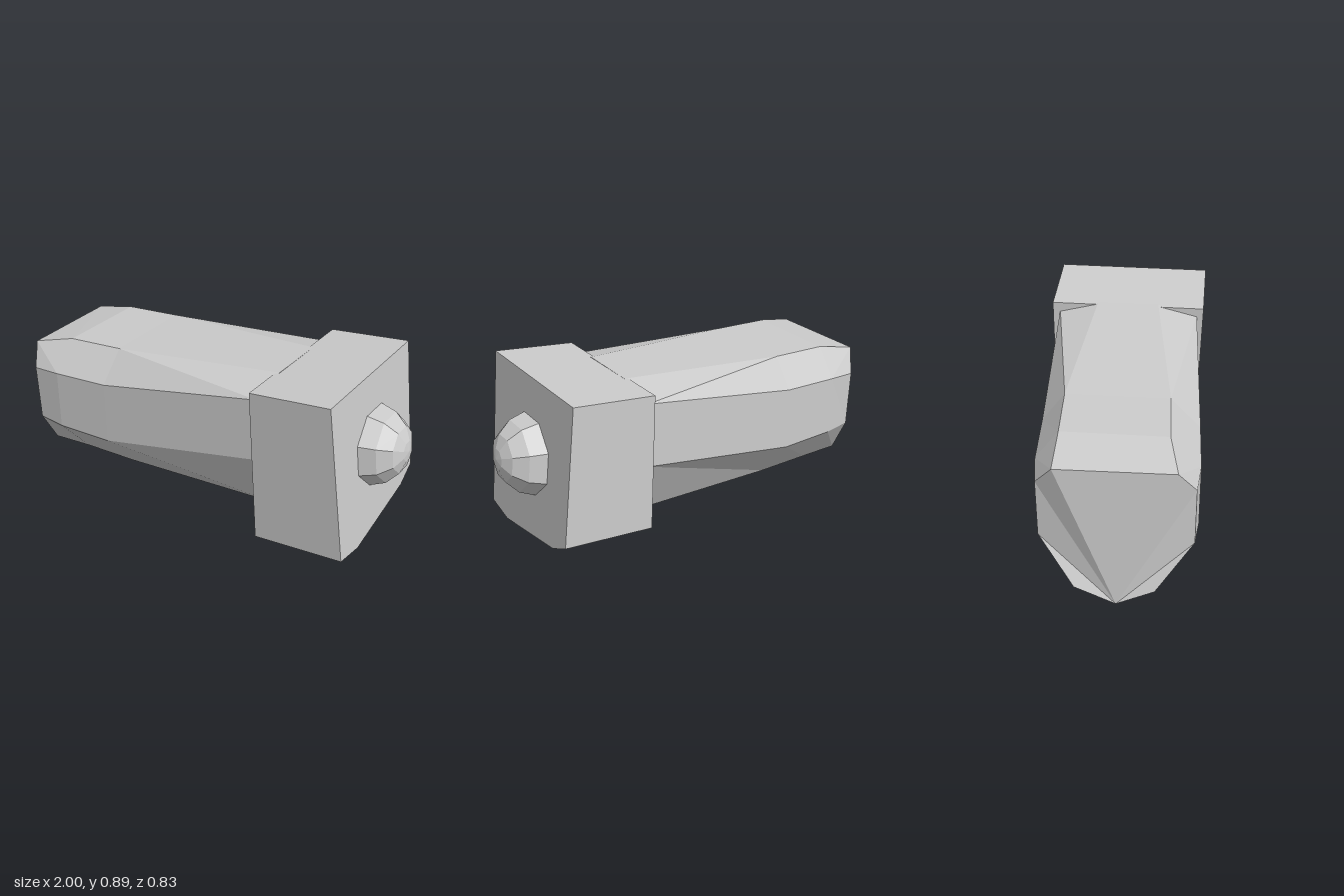
import * as THREE from 'three';

const material = new THREE.MeshStandardMaterial({ color: 0xcccccc, flatShading: true });

// Skin a row of closed rings running along +x; caps fan out from one corner
function loft(name, rings, fan) {
  const n = rings[0].length, index = [];
  const at = (i, j) => i * n + (j % n);
  for (let i = 0; i < rings.length - 1; i++) {
    for (let j = 0; j < n; j++) {
      const a = at(i, j), b = at(i, j + 1), c = at(i + 1, j + 1), d = at(i + 1, j);
      // the last strip mirrors the diagonal of the front shoulder
      if (j === n - 1) index.push(a, b, d, b, c, d);
      else index.push(a, b, c, a, c, d);
    }
  }
  const last = rings.length - 1;
  for (let k = 1; k < n - 1; k++) {
    index.push(at(0, fan), at(0, fan + k + 1), at(0, fan + k));
    index.push(at(last, fan), at(last, fan + k), at(last, fan + k + 1));
  }
  const geometry = new THREE.BufferGeometry();
  geometry.setAttribute('position', new THREE.Float32BufferAttribute(rings.flat(2), 3));
  geometry.setIndex(index);
  const flat = geometry.toNonIndexed();
  flat.computeVertexNormals();
  const mesh = new THREE.Mesh(flat, material);
  mesh.name = name;
  return mesh;
}

// Nine-sided handle ring: heights [top, upper, lower, foot, keel] and the z of each corner
function handleRing(xs, [top, upper, lower, foot, keel], z) {
  const y = [top, top, upper, lower, foot, keel, foot, lower, upper];
  return z.map((v, j) => [Array.isArray(xs) ? xs[j] : xs, y[j], v]);
}

export function createModel() {
  const group = new THREE.Group();
  group.name = 'model';

  // Long faceted handle
  group.add(loft('handle', [
    handleRing([-1, -0.99, -0.94, -0.93, -1, -1, -1, -0.93, -0.94],
      [0.72, 0.61, 0.32, 0.085, 0],
      [-0.21, 0.325, 0.405, 0.405, 0.235, 0.06, -0.13, -0.295, -0.295]),
    handleRing(-0.78, [0.77, 0.625, 0.315, 0.09, 0.06],
      [-0.21, 0.28, 0.418, 0.418, 0.22, 0.06, -0.14, -0.32, -0.32]),
    handleRing(-0.48, [0.787, 0.64, 0.315, 0.092, 0.065],
      [-0.225, 0.265, 0.405, 0.405, 0.21, 0.05, -0.15, -0.335, -0.335]),
    handleRing(0.39, [0.85, 0.798, 0.475, 0.145, 0.085],
      [-0.17, 0.15, 0.355, 0.355, 0.2, 0, -0.2, -0.375, -0.375]),
  ], 5));

  // Head block, slightly skewed, with a chamfered underside
  const outline = [[-0.41, 0.895], [0.39, 0.89], [0.37, 0.09], [0.2, 0.065], [-0.295, 0.15], [-0.415, 0.21]];
  group.add(loft('headBlock', [
    outline.map(([z, y]) => [0.37 + (0.895 - y) * 0.043, y - 0.046, z]),
    outline.map(([z, y]) => [0.785 + (0.895 - y) * 0.112, y, z]),
  ], 0));

  // Eight-sided domed knob on the tilted end face
  const profile = [[0.2, -0.01], [0.2, 0], [0.172, 0.08], [0.115, 0.14], [0.05, 0.167], [0, 0.174]]
    .map(([r, h]) => new THREE.Vector2(r, h));
  const knob = new THREE.Mesh(new THREE.LatheGeometry(profile, 8, Math.PI / 8), material);
  knob.name = 'endKnob';
  knob.position.set(0.827, 0.517, -0.022);
  knob.rotation.z = -Math.PI / 2 + 0.112;
  group.add(knob);

  return group;
}
